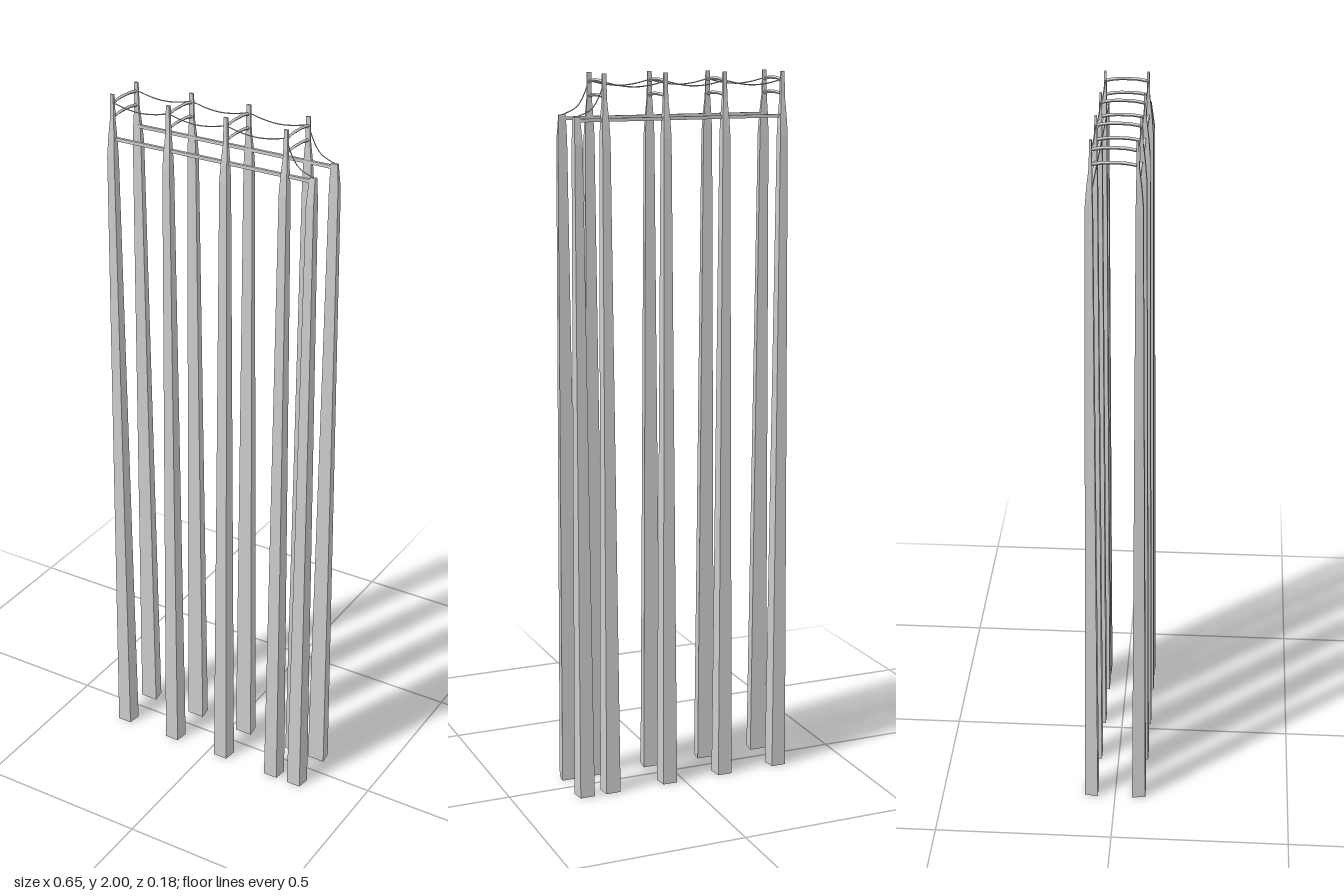
import * as THREE from 'three';

const mat = new THREE.MeshStandardMaterial({ color: 0xcccccc, flatShading: true, side: THREE.DoubleSide });

// Sections of a post: [y, half width outside, half width inside, z inside, z outside]
const TALL = [
  [0, 0.021, 0.026, 0.05, 0.088],
  [1.83, 0.011, 0.013, 0.053, 0.072],
  [1.88, 0.009, 0.011, 0.054, 0.068],
  [1.93, 0.006, 0.007, 0.054, 0.062],
  [2, 0.005, 0.006, 0.054, 0.06],
];
const SHORT = [
  [0, 0.021, 0.026, 0.05, 0.088],
  [1.82, 0.011, 0.013, 0.053, 0.072],
  [1.89, 0.008, 0.01, 0.053, 0.062],
];

// Tapered four-sided post, open at the foot and closed at the top
function postGeometry(sections) {
  const pos = [], index = [];
  for (const [y, wOut, wIn, zIn, zOut] of sections) {
    pos.push(-wOut, y, zOut, wOut, y, zOut, wIn, y, zIn, -wIn, y, zIn);
  }
  for (let i = 0; i < sections.length - 1; i++) {
    for (let j = 0; j < 4; j++) {
      const a = i * 4 + j, b = i * 4 + (j + 1) % 4;
      index.push(a, b, b + 4, a, b + 4, a + 4);
    }
  }
  const t = (sections.length - 1) * 4;
  index.push(t, t + 1, t + 2, t, t + 2, t + 3);
  const g = new THREE.BufferGeometry();
  g.setAttribute('position', new THREE.Float32BufferAttribute(pos, 3));
  g.setIndex(index);
  g.computeVertexNormals();
  return g;
}

function add(parent, name, geometry) {
  const mesh = new THREE.Mesh(geometry, mat);
  mesh.name = name;
  parent.add(mesh);
  return mesh;
}

function tube(points, radius, steps, sides) {
  const curve = new THREE.CatmullRomCurve3(points.map(p => new THREE.Vector3(...p)));
  return new THREE.TubeGeometry(curve, steps, radius, sides);
}

export function createModel() {
  const group = new THREE.Group();
  group.name = 'postRow';
  const tallX = [-0.299, -0.127, 0.045, 0.219];
  const shortX = 0.297;
  const tallGeo = postGeometry(TALL), shortGeo = postGeometry(SHORT);

  // Two facing rows of posts, each with a rail and hanging wires
  for (const side of [1, -1]) {
    const row = new THREE.Group();
    row.name = side > 0 ? 'frontRow' : 'backRow';
    group.add(row);
    for (const x of [...tallX, shortX]) {
      const post = add(row, x === shortX ? 'shortPost' : 'tallPost', x === shortX ? shortGeo : tallGeo);
      post.position.x = x;
      if (side < 0) post.rotation.y = Math.PI;
    }

    const z = side * 0.057;
    const rail = add(row, 'rail', new THREE.BoxGeometry(0.596, 0.009, 0.008));
    rail.position.set(-0.001, 1.88, z);

    // Wires sag between the tall posts, then drop to the short one
    for (let i = 0; i < 3; i++) {
      const a = tallX[i], b = tallX[i + 1], w = b - a;
      add(row, 'wire', tube([
        [a, 1.978, z], [a + w * 0.25, 1.968, z], [a + w * 0.5, 1.964, z],
        [a + w * 0.75, 1.968, z], [b, 1.978, z],
      ], 0.0016, 10, 4));
    }
    add(row, 'endWire', tube([
      [0.219, 1.978, z], [0.234, 1.94, z], [0.256, 1.908, z], [shortX, 1.889, z],
    ], 0.0016, 10, 4));
  }

  // Pairs of slightly arched crossbars joining the tall posts
  for (const x of tallX) {
    for (const y of [1.937, 1.975]) {
      add(group, 'crossbar', tube([
        [x, y, -0.057], [x, y + 0.005, -0.03], [x, y + 0.006, 0], [x, y + 0.005, 0.03], [x, y, 0.057],
      ], 0.0045, 8, 4));
    }
  }
  return group;
}
